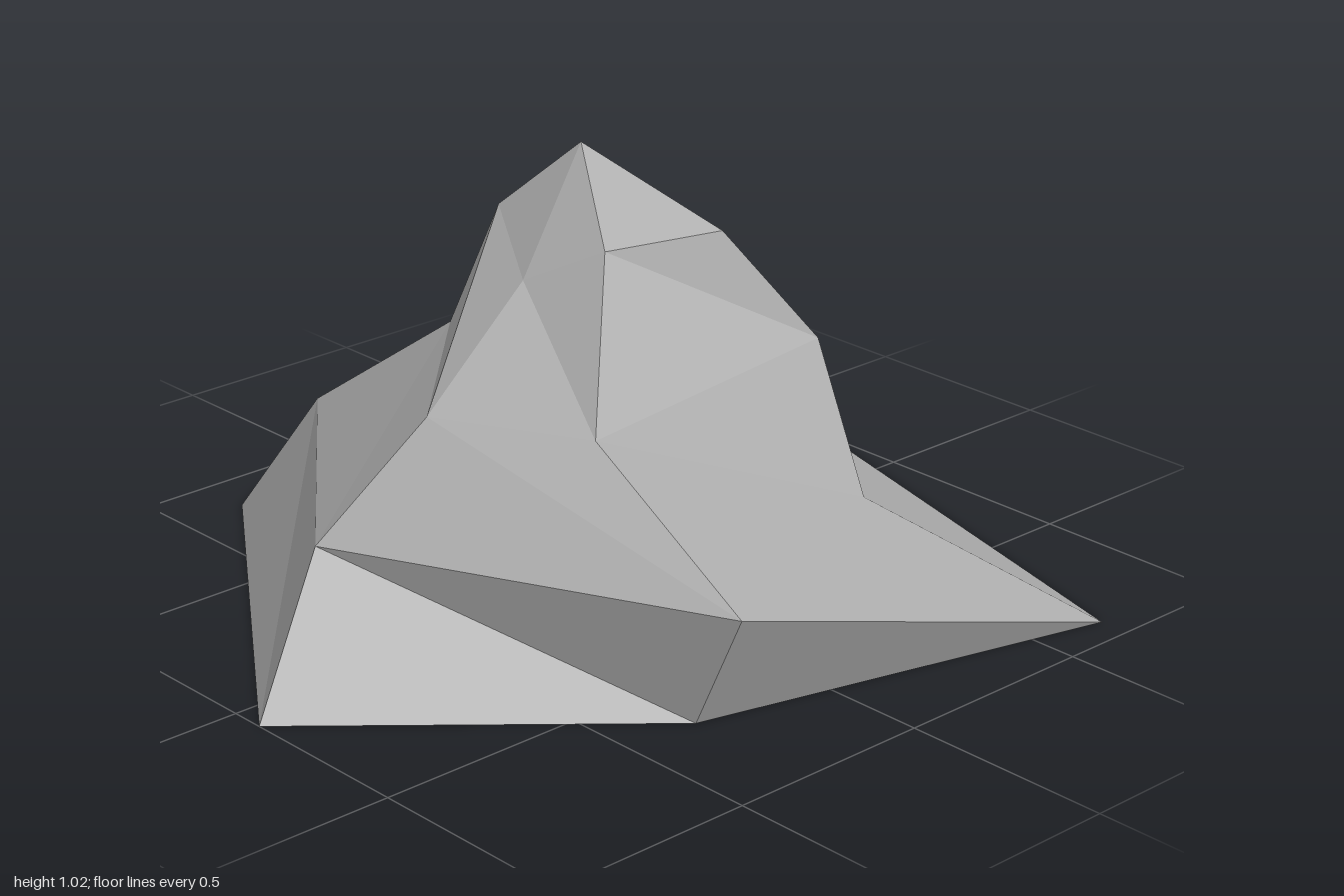
import * as THREE from 'three';

// Six-sided rings from the ground up, each corner [x, y, z], in the same order around the rock
const rings = [
  [[-1, 0, 0.08], [-0.33, 0, -0.86], [0.58, 0, -0.93], [1, 0, -0.22], [0.68, 0, 0.93], [-0.32, 0, 0.68]],
  [[-0.77, 0.31, -0.01], [-0.25, 0.31, -0.66], [0.43, 0.32, -0.49], [0.59, 0.27, 0.13], [0.32, 0.28, 0.54], [-0.32, 0.28, 0.81]],
  [[-0.51, 0.55, 0.05], [-0.19, 0.6, -0.25], [0.17, 0.57, -0.37], [0.41, 0.6, -0.03], [0.34, 0.6, 0.37], [-0.32, 0.54, 0.37]],
  [[-0.22, 0.78, 0.03], [-0.08, 0.86, -0.21], [0.12, 0.78, -0.17], [0.17, 0.81, -0.03], [0.16, 0.86, 0.25], [-0.12, 0.86, 0.18]],
];
const peak = [0.02, 1.02, -0.05];

export function createModel() {
  const group = new THREE.Group();
  group.name = 'rock';
  const stone = new THREE.MeshStandardMaterial({ color: 0xaaaaaa, flatShading: true });
  stone.name = 'stone grey';

  const positions = [];
  const tri = (a, b, c) => positions.push(...a, ...b, ...c);
  const sides = rings[0].length;

  for (let i = 0; i < sides; i++) {
    const j = (i + 1) % sides;
    // Sloping sides, every quad split along the same diagonal
    for (let k = 0; k < rings.length - 1; k++) {
      const low = rings[k], high = rings[k + 1];
      tri(low[i], high[i], high[j]);
      tri(low[i], high[j], low[j]);
    }
    // Pointed summit
    const top = rings[rings.length - 1];
    tri(top[i], peak, top[j]);
    // Flat underside
    if (i > 0 && j > 0) tri(rings[0][0], rings[0][i], rings[0][j]);
  }

  const geometry = new THREE.BufferGeometry();
  geometry.setAttribute('position', new THREE.Float32BufferAttribute(positions, 3));
  geometry.computeVertexNormals();
  const boulder = new THREE.Mesh(geometry, stone);
  boulder.name = 'boulder';
  group.add(boulder);
  return group;
}
